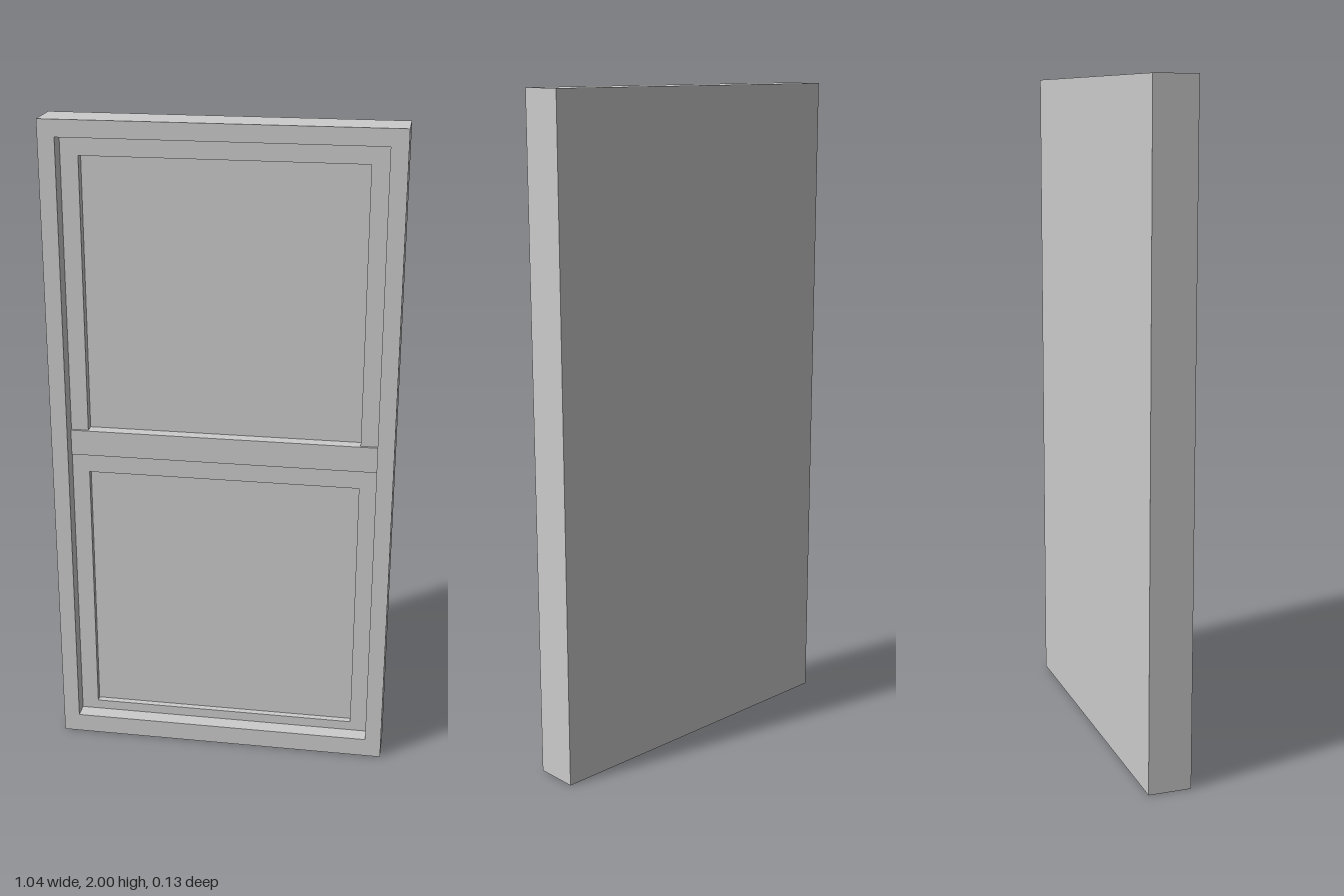
import * as THREE from 'three';

const material = new THREE.MeshStandardMaterial({ color: 0xcccccc, flatShading: true });

// Box given by its lower and upper limits on each axis
function block(name, x0, x1, y0, y1, z0, z1) {
  const mesh = new THREE.Mesh(new THREE.BoxGeometry(x1 - x0, y1 - y0, z1 - z0), material);
  mesh.position.set((x0 + x1) / 2, (y0 + y1) / 2, (z0 + z1) / 2);
  mesh.name = name;
  return mesh;
}

// Rectangular ring between z0 and z1, with one rectangular hole
function ring(name, halfW, y0, y1, holeHalfW, h0, h1, z0, z1) {
  const rect = (Type, w, a, b) => new Type([
    new THREE.Vector2(-w, a), new THREE.Vector2(w, a),
    new THREE.Vector2(w, b), new THREE.Vector2(-w, b),
  ]);
  const shape = rect(THREE.Shape, halfW, y0, y1);
  shape.holes.push(rect(THREE.Path, holeHalfW, h0, h1));
  const geometry = new THREE.ExtrudeGeometry(shape, { depth: z1 - z0, bevelEnabled: false });
  const mesh = new THREE.Mesh(geometry, material);
  mesh.position.z = z0;
  mesh.name = name;
  return mesh;
}

export function createModel() {
  const group = new THREE.Group();
  group.name = 'sashWindow';
  const back = -0.065, front = 0.065;
  const upperGlass = -0.018, lowerGlass = -0.005;

  group.add(
    // Flat back, whose front face is the upper pane
    block('backPanel', -0.52, 0.52, 0, 2, back, upperGlass),
    // Outer frame
    ring('outerFrame', 0.52, 0, 2, 0.47, 0.06, 1.95, upperGlass, front),
    // Sashes
    ring('upperSash', 0.47, 1.01, 1.95, 0.417, 1.03, 1.89, upperGlass, 0.012),
    ring('lowerSash', 0.47, 0.06, 0.97, 0.417, 0.09, 0.913, upperGlass, 0.015),
    // Lower pane sits a little further forward
    block('lowerPane', -0.417, 0.417, 0.09, 0.913, upperGlass, lowerGlass),
    // Rail where the sashes meet
    block('meetingRail', -0.47, 0.47, 0.97, 1.05, upperGlass, 0.02),
  );
  return group;
}
